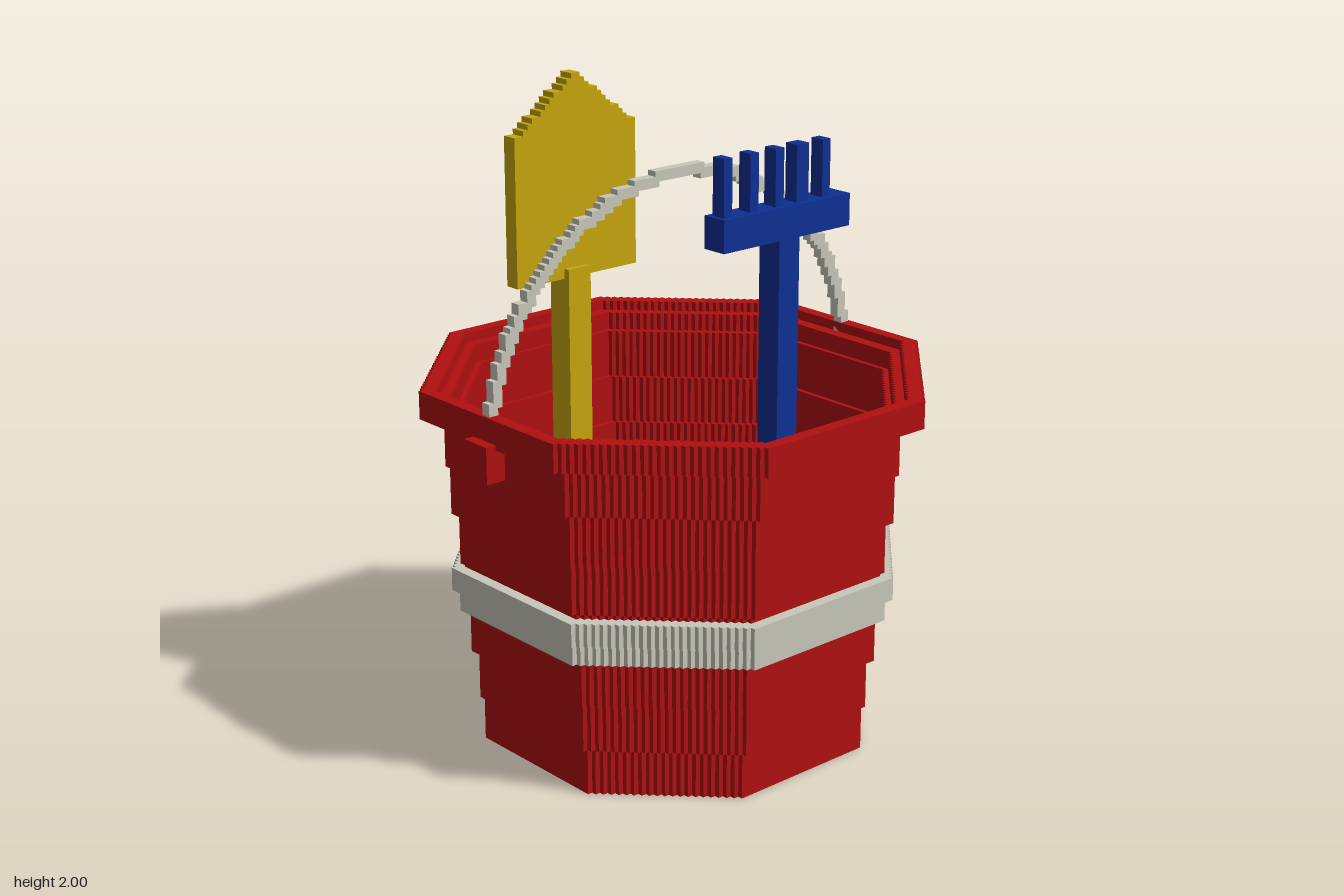
import * as THREE from 'three';

const U = 1 / 64; // block size

const mat = (name, color) => {
  const m = new THREE.MeshStandardMaterial({ color });
  m.name = name;
  return m;
};

// Octagon outline with stepped diagonals; a = half width in blocks
function octagon(a) {
  const n = Math.floor(a * (2 - Math.SQRT2));
  const c = a - n;
  const quarter = [];
  for (let i = 0; i <= n; i++) {
    quarter.push([a - i, c + i]);
    if (i < n) quarter.push([a - i - 1, c + i]);
  }
  const pts = [];
  for (let q = 0; q < 4; q++) {
    for (const [x, y] of quarter) {
      const [px, py] = [[x, y], [-y, x], [-x, -y], [y, -x]][q];
      pts.push(new THREE.Vector2(px * U, py * U));
    }
  }
  return pts;
}

export function createModel() {
  const red = mat('red', 0xb01010);
  const grey = mat('warm grey', 0xc8c7ba);
  const yellow = mat('yellow', 0xc6a60d);
  const blue = mat('blue', 0x0e3094);

  const model = new THREE.Group();
  model.name = 'beachBucket';
  const group = (name) => {
    const g = new THREE.Group();
    g.name = name;
    model.add(g);
    return g;
  };
  const add = (parent, name, geometry, material) => {
    const mesh = new THREE.Mesh(geometry, material);
    mesh.name = name;
    parent.add(mesh);
    return mesh;
  };
  // Box given by its limits on each axis
  const box = (parent, name, material, x0, x1, y0, y1, z0, z1) =>
    add(parent, name, new THREE.BoxGeometry(x1 - x0, y1 - y0, z1 - z0), material)
      .position.set((x0 + x1) / 2, (y0 + y1) / 2, (z0 + z1) / 2);
  // Octagonal slab, hollow when an inner half width is given
  const ring = (parent, name, material, outer, inner, y0, y1) => {
    const shape = new THREE.Shape(octagon(outer));
    if (inner) shape.holes.push(new THREE.Path(octagon(inner)));
    const geo = new THREE.ExtrudeGeometry(shape, { depth: y1 - y0, bevelEnabled: false });
    geo.rotateX(-Math.PI / 2).translate(0, y0, 0);
    add(parent, name, geo, material);
  };

  // Bucket: seven widening wall steps, floor and rim
  const bucket = group('bucket');
  const levels = [0, 0.14, 0.29, 0.43, 0.58, 0.735, 0.885, 1.035];
  for (let i = 0; i < 7; i++) {
    ring(bucket, 'wallStep', red, 35.5 + i, 33.5 + i, levels[i], levels[i + 1]);
  }
  ring(bucket, 'floor', red, 34, 0, 0, 0.06);
  ring(bucket, 'rimLedge', red, 43.5, 40.5, 1.035, 1.09);
  ring(bucket, 'rim', red, 45.5, 43, 1.035, 1.12);

  // Two-step band round the middle
  const band = group('band');
  ring(band, 'lowerBand', grey, 39.7, 37, 0.43, 0.495);
  ring(band, 'upperBand', grey, 40.7, 38, 0.495, 0.565);

  // Ears that hold the handle
  for (const s of [-1, 1]) {
    const x = [0.68 * s, 0.743 * s].sort((p, q) => p - q);
    box(bucket, 'handleEar', red, x[0], x[1], 0.94, 1.05, -0.05, 0.05);
  }

  // Arched handle made of small blocks snapped to the grid
  const handle = group('handle');
  const used = new Set();
  for (let i = 3; i <= 137; i++) {
    const t = (i / 140) * Math.PI;
    const x = Math.round((0.695 * Math.cos(t)) / U);
    const y = Math.round((1.005 + 0.695 * Math.sin(t)) / U);
    if (used.has(x + ',' + y)) continue;
    used.add(x + ',' + y);
    box(handle, 'handleBlock', grey, (x - 1) * U, (x + 1) * U, (y - 1) * U, (y + 1) * U, -U, U);
  }

  // Shovel: blade with a stepped point, stem and cross grip
  const shovel = group('shovel');
  const blade = new THREE.Shape();
  const left = -0.475, right = -0.035, cols = 28;
  blade.moveTo(left, 1.41);
  for (let i = 0; i < cols; i++) {
    const w = (right - left) / cols;
    const d = Math.abs(i + 0.5 - cols / 2) / (cols / 2);
    const y = 2 - Math.round((0.17 * d) / U) * U;
    blade.lineTo(left + i * w, y);
    blade.lineTo(left + (i + 1) * w, y);
  }
  blade.lineTo(right, 1.41);
  const bladeGeo = new THREE.ExtrudeGeometry(blade, { depth: 0.047, bevelEnabled: false });
  add(shovel, 'shovelBlade', bladeGeo.translate(0, 0, -0.187), yellow);
  box(shovel, 'shovelStem', yellow, -0.305, -0.224, 0.25, 1.44, -0.203, -0.12);
  box(shovel, 'shovelGrip', yellow, -0.42, -0.09, 0.19, 0.27, -0.203, -0.12);

  // Rake: stem, head and five tines
  const rake = group('rake');
  box(rake, 'rakeStem', blue, 0.218, 0.299, 0.19, 1.5, 0.12, 0.203);
  box(rake, 'rakeHead', blue, 0, 0.505, 1.497, 1.595, 0.12, 0.203);
  for (const [x0, x1] of [[0.015, 0.047], [0.117, 0.15], [0.217, 0.25], [0.302, 0.35], [0.406, 0.438]]) {
    box(rake, 'rakeTine', blue, x0, x1, 1.59, 1.766, 0.138, 0.185);
  }

  return model;
}
